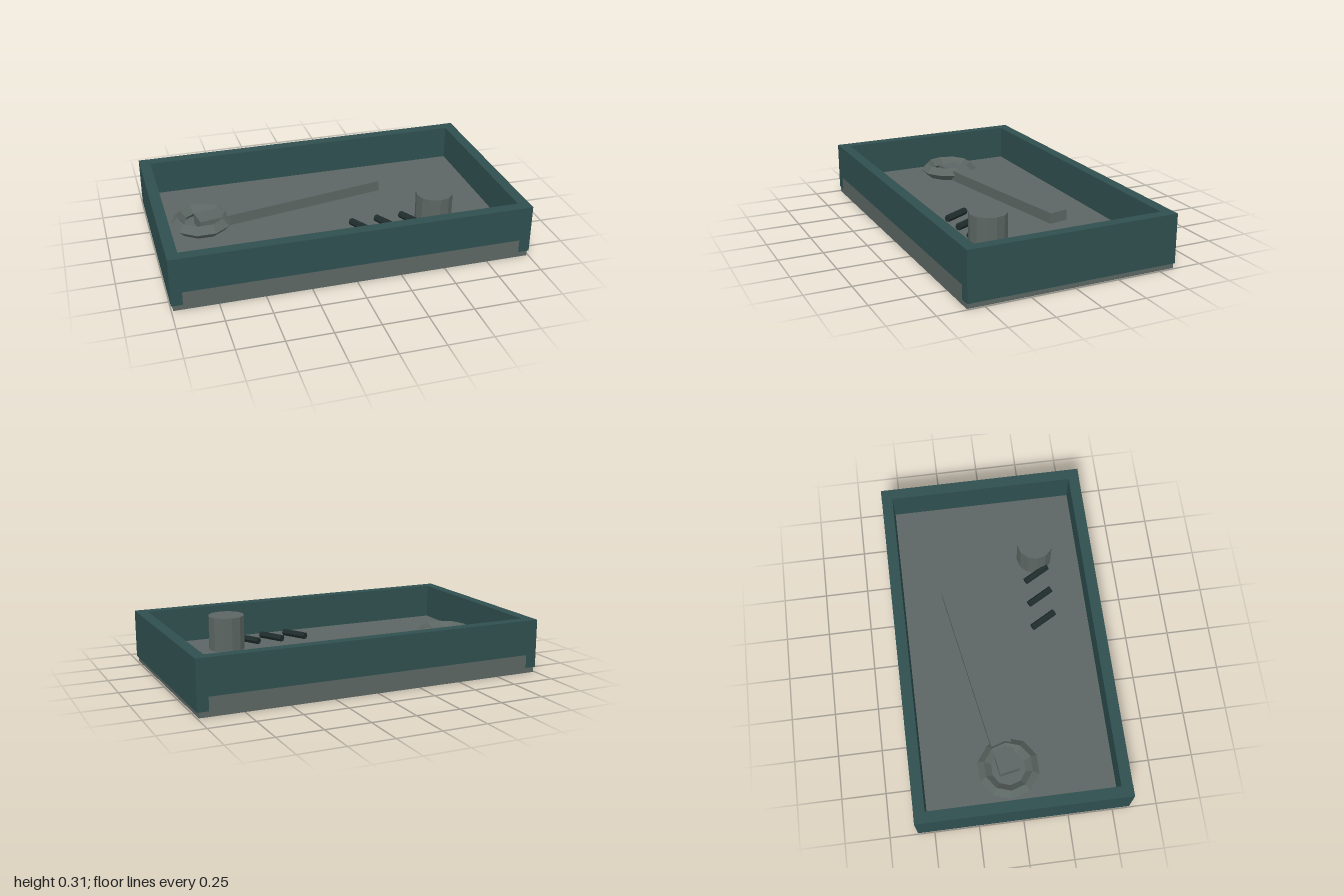
import * as THREE from 'three';

export function createModel() {
  const model = new THREE.Group();
  model.name = 'toolTray';

  const material = (name, color) => {
    const m = new THREE.MeshStandardMaterial({ color, flatShading: true });
    m.name = name;
    return m;
  };
  const teal = material('dark teal', 0x2f4f4f);
  const grey = material('steel grey', 0x5c6663);
  const dark = material('dark metal', 0x1e2c2b);

  const add = (name, geometry, mat, x, y, z, parent = model) => {
    const mesh = new THREE.Mesh(geometry, mat);
    mesh.name = name;
    mesh.position.set(x, y, z);
    parent.add(mesh);
    return mesh;
  };

  // Floor slab
  const floorY = 0.105;
  add('traySlab', new THREE.BoxGeometry(1.98, floorY, 1.18), grey, 0, floorY / 2, 0);

  // Walls: the side walls hang lower, the front and back ones rest on the slab
  const top = 0.305, bottom = 0.03, thick = 0.062;
  for (const s of [1, -1]) {
    add(s > 0 ? 'leftWall' : 'rightWall',
      new THREE.BoxGeometry(thick, top - bottom, 1.184), teal,
      s * (1 - thick / 2), (top + bottom) / 2, 0);
    add(s > 0 ? 'frontWall' : 'backWall',
      new THREE.BoxGeometry(2 - 2 * thick, top - floorY, thick), teal,
      0, (top + floorY) / 2, s * (0.591 - thick / 2));
  }

  // Wrench: a bar handle ending inside a faceted ring
  const wrench = new THREE.Group();
  wrench.name = 'wrench';
  model.add(wrench);
  const handle = add('wrenchHandle', new THREE.BoxGeometry(1.137, 0.063, 0.114), grey,
    -0.19, 0.136, -0.148, wrench);
  handle.rotation.y = 0.18;
  const ring = add('wrenchRing', new THREE.TorusGeometry(0.136, 0.039, 4, 10), grey,
    -0.725, 0.142, -0.052, wrench);
  ring.rotation.x = Math.PI / 2;

  // Three loose bolts lying parallel
  const boltDirection = new THREE.Vector3(0.49, 0, 0.87).normalize();
  for (let i = 0; i < 3; i++) {
    const bolt = add('bolt' + (i + 1), new THREE.CylinderGeometry(0.02, 0.02, 0.16, 6), dark,
      0.123 + i * 0.147, 0.147, 0.265);
    bolt.quaternion.setFromUnitVectors(new THREE.Vector3(0, 1, 0), boltDirection);
  }

  // Round canister
  add('canister', new THREE.CylinderGeometry(0.104, 0.104, 0.2, 12), grey, 0.548, 0.202, 0.27);

  return model;
}
